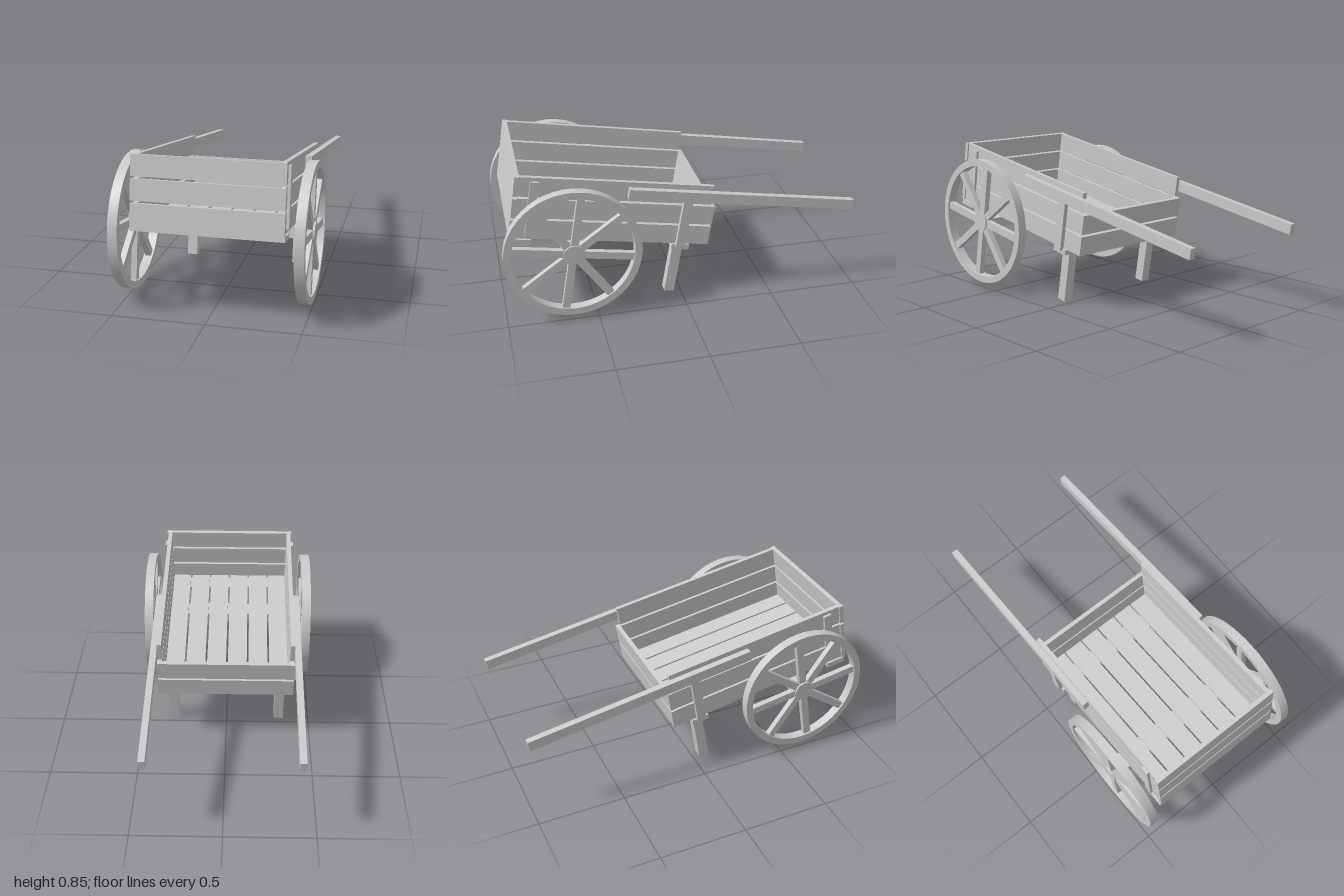
import * as THREE from 'three';
import { toCreasedNormals } from 'three/addons/utils/BufferGeometryUtils.js';

const material = new THREE.MeshStandardMaterial({ color: 0xcccccc });

// Adds a box given its [min, max] range on each axis
function addBox(parent, name, [x0, x1], [y0, y1], [z0, z1]) {
  const mesh = new THREE.Mesh(new THREE.BoxGeometry(x1 - x0, y1 - y0, z1 - z0), material);
  mesh.position.set((x0 + x1) / 2, (y0 + y1) / 2, (z0 + z1) / 2);
  mesh.name = name;
  parent.add(mesh);
  return mesh;
}

// Spoked wheel whose axis runs along x
function makeWheel() {
  const wheel = new THREE.Group();
  const outer = 0.375, inner = 0.335, half = 0.026, spokes = 8;

  const profile = [[inner, -half], [outer, -half], [outer, half], [inner, half], [inner, -half]]
    .map(([r, y]) => new THREE.Vector2(r, y));
  const rim = new THREE.Mesh(toCreasedNormals(new THREE.LatheGeometry(profile, 48), 0.6), material);
  rim.name = 'wheelRim';
  rim.rotation.z = Math.PI / 2;
  wheel.add(rim);

  const hub = new THREE.Mesh(new THREE.CylinderGeometry(0.056, 0.056, 2 * half, 24), material);
  hub.name = 'wheelHub';
  hub.rotation.z = Math.PI / 2;
  wheel.add(hub);

  for (let i = 0; i < spokes; i++) {
    const pivot = new THREE.Group();
    pivot.name = 'wheelSpoke';
    pivot.rotation.x = (i / spokes) * Math.PI * 2;
    addBox(pivot, 'spoke', [-0.016, 0.016], [0.04, inner + 0.01], [-0.021, 0.021]);
    wheel.add(pivot);
  }
  return wheel;
}

export function createModel() {
  const model = new THREE.Group();
  model.name = 'handcart';

  // Everything is built level around the axle, then tipped back onto the legs
  const cart = new THREE.Group();
  cart.name = 'cart';
  cart.position.set(0, 0.405, 0.625);
  cart.rotation.x = -0.164;
  model.add(cart);

  const rear = -0.775, front = 0.343, thick = 0.025;
  const plankRange = (i) => [0.032 + i * 0.1245, 0.144 + i * 0.1245];

  // Floor boards
  for (let i = 0; i < 6; i++) {
    const x = (i - 2.5) * 0.125;
    addBox(cart, 'floorBoard', [x - 0.057, x + 0.057], [0.03, 0.05], [rear + thick, front - thick]);
  }

  // Front has three planks, rear only two
  for (let i = 0; i < 3; i++) {
    addBox(cart, 'frontPlank', [-0.398, 0.398], plankRange(i), [front - thick, front]);
    if (i < 2) addBox(cart, 'rearPlank', [-0.392, 0.392], plankRange(i), [rear, rear + thick]);
  }

  // Cross battens under the floor and the axle beam
  addBox(cart, 'frontBatten', [-0.4, 0.4], [0, 0.03], [0.22, 0.332]);
  addBox(cart, 'rearBatten', [-0.4, 0.4], [0, 0.03], [-0.665, -0.565]);
  addBox(cart, 'axleBeam', [-0.46, 0.46], [-0.03, 0.03], [-0.053, 0.053]);

  // Mirrored parts
  for (const s of [-1, 1]) {
    const side = (name, x, y, z) =>
      addBox(cart, name, s > 0 ? x : [-x[1], -x[0]], y, z);

    for (let i = 0; i < 3; i++) {
      side('sidePlank', [0.365, 0.39], plankRange(i), [rear + thick, front - thick]);
    }
    side('frontStile', [0.39, 0.405], [0.055, 0.372], [0.215, 0.26]);
    side('rearStile', [0.39, 0.415], [0.02, 0.306], [-0.637, -0.585]);
    side('handle', [0.39, 0.426], [0.306, 0.365], [-1.583, -0.27]);
    side('leg', [0.29, 0.347], [-0.304, 0.002], [-0.644, -0.587]);

    const wheel = makeWheel();
    wheel.name = s > 0 ? 'leftWheel' : 'rightWheel';
    wheel.position.x = s * 0.478;
    cart.add(wheel);
  }
  return model;
}
